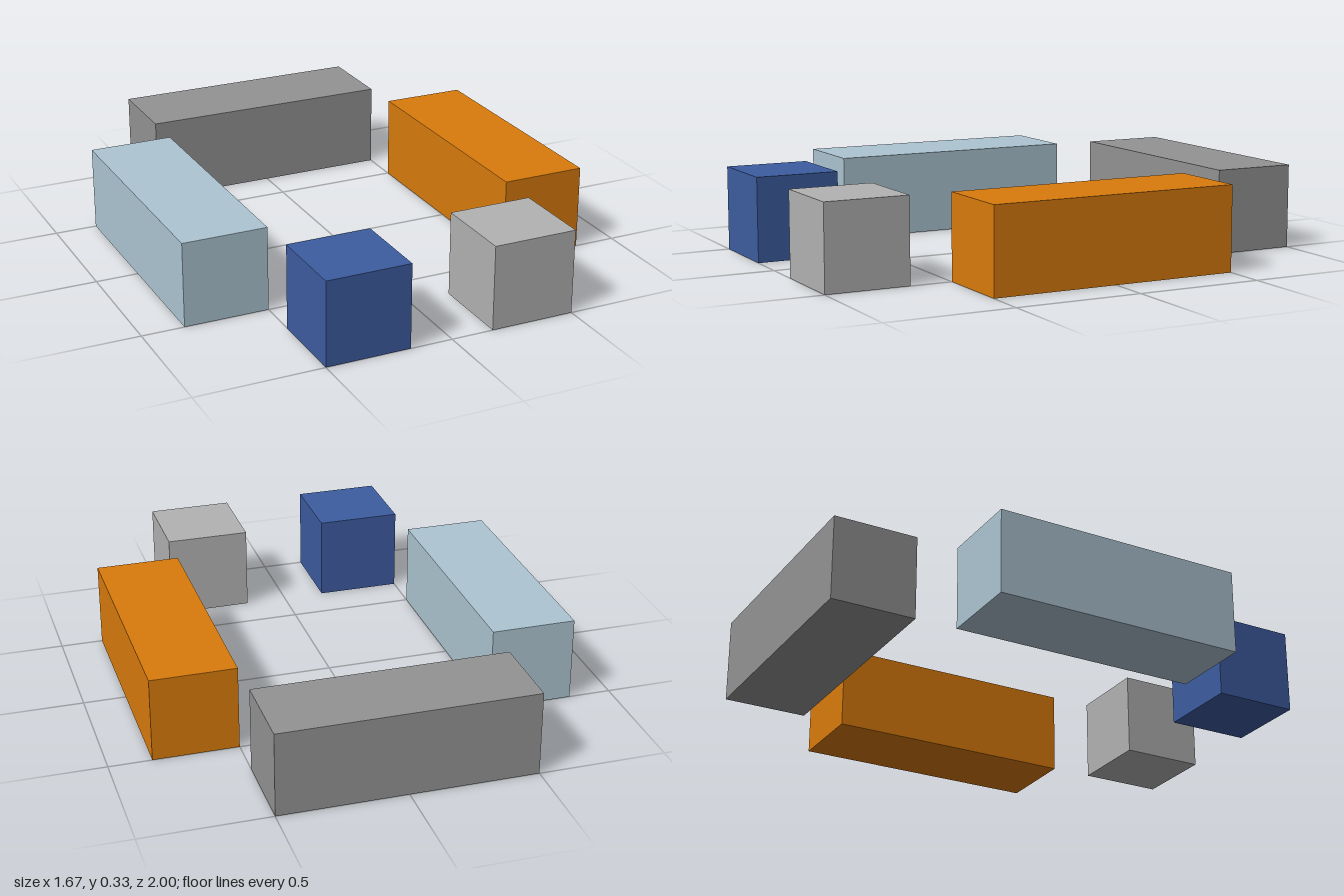
import * as THREE from 'three';

const U = 1 / 3; // block module: every block is one unit high and wide

export function createModel() {
  const model = new THREE.Group();

  // Solid block resting on the ground, sized and placed in module units
  function block(name, color, width, depth, x, z) {
    const mesh = new THREE.Mesh(
      new THREE.BoxGeometry(width * U, U, depth * U),
      new THREE.MeshStandardMaterial({ color })
    );
    mesh.name = name;
    mesh.position.set(x * U, U / 2, z * U);
    model.add(mesh);
  }

  // Long blocks on three sides
  block('backBlock', 0x939393, 3, 1, 0, -2.5);
  block('leftBlock', 0xd97b0c, 1, 3, 2, 0);
  block('rightBlock', 0xadc5d2, 1, 3, -2, 0);

  // Pair of cubes at the front
  block('frontRightCube', 0x3d5ca0, 1, 1, -1, 2.5);
  block('frontLeftCube', 0xb2b2b2, 1, 1, 1, 2.5);

  return model;
}
